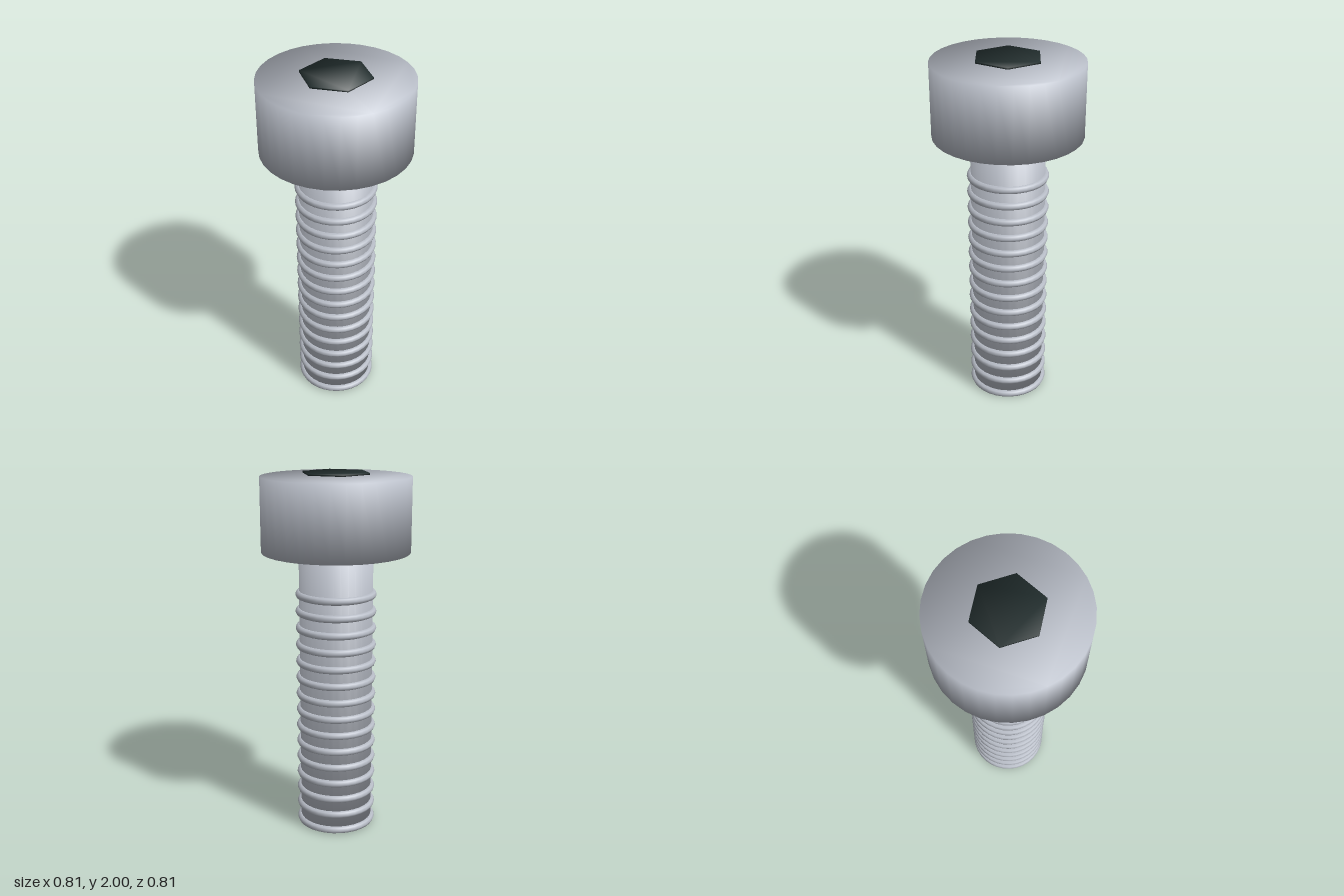
import * as THREE from 'three';

// Prism standing on y = bottom, with soft shading carried over its rims.
function softPrism(radius, bottom, top, sides, startAngle = 0) {
  const outline = [];
  for (let i = 0; i < sides; i++) {
    const a = startAngle + (i / sides) * Math.PI * 2;
    outline.push(new THREE.Vector2(radius * Math.cos(a), radius * Math.sin(a)));
  }
  const geometry = new THREE.ExtrudeGeometry(new THREE.Shape(outline), {
    depth: top - bottom, bevelEnabled: false,
  });
  geometry.rotateX(-Math.PI / 2).translate(0, bottom, 0);

  // Every rim normal leans halfway between the side and the cap.
  const position = geometry.attributes.position;
  const middle = (bottom + top) / 2;
  const n = new THREE.Vector3();
  for (let i = 0; i < position.count; i++) {
    n.set(position.getX(i), 0, position.getZ(i)).normalize();
    n.y = position.getY(i) > middle ? 1 : -1;
    n.normalize();
    geometry.attributes.normal.setXYZ(i, n.x, n.y, n.z);
  }
  return geometry;
}

export function createModel() {
  const steel = new THREE.MeshStandardMaterial({ name: 'steel', color: 0xb9bec8 });
  const socketDark = new THREE.MeshStandardMaterial({ name: 'socketDark', color: 0x222e2e });

  const model = new THREE.Group();
  model.name = 'socketHeadScrew';
  const add = (name, geometry, material, parent = model) => {
    const mesh = new THREE.Mesh(geometry, material);
    mesh.name = name;
    parent.add(mesh);
    return mesh;
  };

  // Head, shaft and the hexagonal socket plate above the head
  add('head', softPrism(0.403, 1.58, 1.98, 32), steel);
  add('shaft', softPrism(0.202, 0.02, 1.58, 32), steel);
  add('hexSocket', softPrism(0.188, 1.991, 2, 6, Math.PI / 2), socketDark);

  // Thread: evenly spaced rings up the shaft
  const thread = new THREE.Group();
  thread.name = 'thread';
  model.add(thread);
  const ringGeometry = new THREE.TorusGeometry(0.202, 0.0205, 8, 32).rotateX(Math.PI / 2);
  for (let i = 0; i < 15; i++) {
    add('threadRing', ringGeometry, steel, thread).position.y = 0.0215 + i * 0.0947;
  }
  return model;
}
